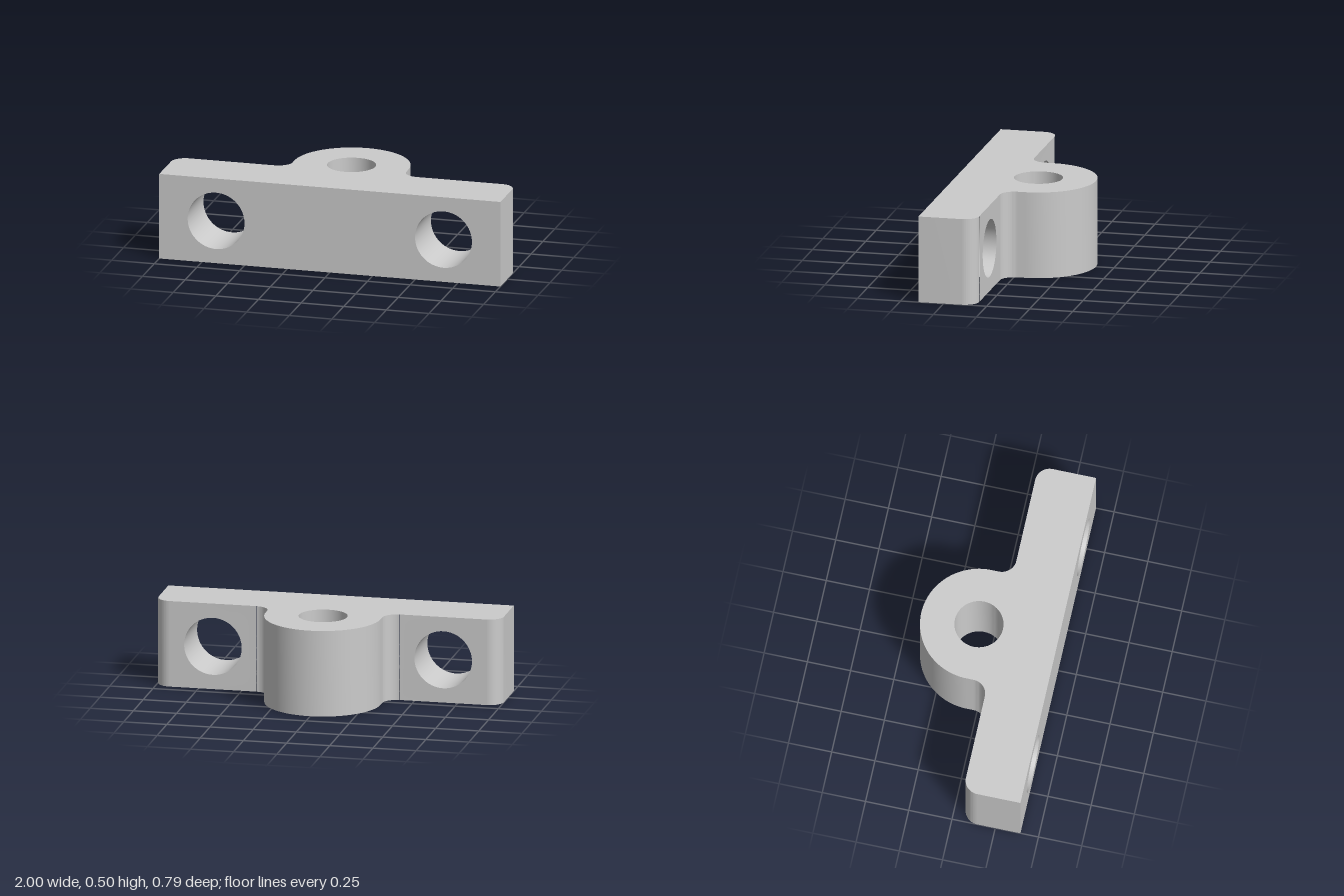
import * as THREE from 'three';
import { mergeGeometries, toCreasedNormals } from 'three/addons/utils/BufferGeometryUtils.js';

const H = 0.5;            // height
const F = 0.3958;         // front face z
const B = 0.0625;         // back face z of the bar
const R = 0.3333;         // lug radius
const LUG_Z = -0.0625;    // lug centre z
const r = 0.0833;         // corner and fillet radius
const PIN = 0.1389;       // vertical hole radius
const BOLT = 0.1667;      // horizontal hole radius
const BOLT_X = 0.6667;
const SEG = 32;           // arcs; a full circle gets 2 * SEG sides

const circle = (x, y, radius) => new THREE.Path().absarc(x, y, radius, 0, Math.PI * 2, true);

// Positions only, without an index
function plain(geometry) {
  const g = geometry.index ? geometry.toNonIndexed() : geometry;
  g.deleteAttribute('uv');
  g.deleteAttribute('normal');
  return g;
}

// Plan outline, drawn with shape y = -z
function planShape() {
  const s = new THREE.Shape();
  const q = Math.PI / 2;
  s.moveTo(-1, -F);
  s.lineTo(1, -F);
  s.absarc(1 - r, -B - r, r, 0, q, false);
  s.absarc(R + r, -B + r, r, -q, -2 * q, true);
  s.absarc(0, -LUG_Z, R, 0, Math.PI, false);
  s.absarc(-R - r, -B + r, r, 0, -q, true);
  s.absarc(-1 + r, -B - r, r, q, 2 * q, false);
  s.closePath();
  s.holes.push(circle(0, -LUG_Z, PIN));
  return s;
}

// Extruded plan, leaving out the flat walls that the bolt holes pierce
function plateBody() {
  const g = new THREE.ExtrudeGeometry(planShape(), { depth: H, bevelEnabled: false, curveSegments: SEG });
  g.rotateX(-Math.PI / 2);
  const p = plain(g).attributes.position;
  const kept = [];
  for (let i = 0; i < p.count; i += 3) {
    const onPlane = (z) => [0, 1, 2].every((k) => Math.abs(p.getZ(i + k) - z) < 1e-4);
    if (onPlane(F) || onPlane(B)) continue;
    for (let k = 0; k < 3; k++) kept.push(p.getX(i + k), p.getY(i + k), p.getZ(i + k));
  }
  return new THREE.BufferGeometry().setAttribute('position', new THREE.Float32BufferAttribute(kept, 3));
}

// Flat wall from x0 to x1 with bolt holes
function wall(x0, x1, holeXs) {
  const s = new THREE.Shape([[x0, 0], [x1, 0], [x1, H], [x0, H]].map(([x, y]) => new THREE.Vector2(x, y)));
  holeXs.forEach((x) => s.holes.push(circle(x, H / 2, BOLT)));
  return new THREE.ShapeGeometry(s, SEG);
}

export function createModel() {
  const parts = [plateBody(), plain(wall(-1, 1, [-BOLT_X, BOLT_X]).translate(0, 0, F))];

  for (const side of [-1, 1]) {
    // Back wall beside the lug
    const ends = [side * (R + r), side * (1 - r)].sort((a, b) => a - b);
    parts.push(plain(wall(...ends, [side * BOLT_X]).rotateY(Math.PI).translate(0, 0, B)));

    // Bolt bore, mirrored so that it faces inward
    const bore = new THREE.CylinderGeometry(BOLT, BOLT, F - B, SEG * 2, 1, true);
    bore.rotateX(Math.PI / 2).scale(-1, 1, 1).translate(side * BOLT_X, H / 2, (F + B) / 2);
    parts.push(plain(bore));
  }

  const geometry = toCreasedNormals(mergeGeometries(parts), Math.PI / 6);
  const bracket = new THREE.Mesh(geometry, new THREE.MeshStandardMaterial({ color: 0xcccccc }));
  bracket.name = 'mountingBracket';

  const model = new THREE.Group();
  model.name = 'lugBracket';
  model.add(bracket);
  return model;
}
